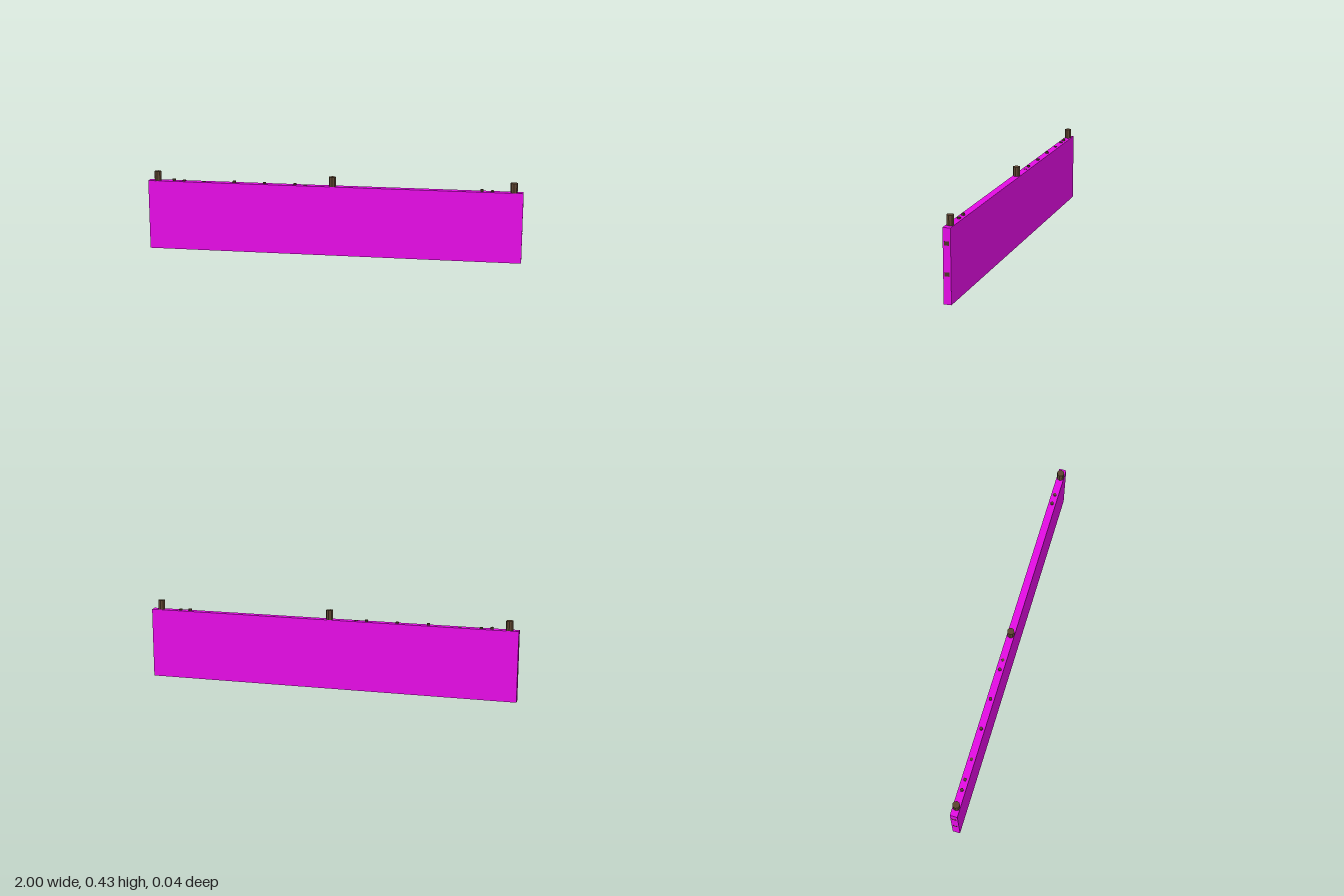
import * as THREE from 'three';

const wood = new THREE.MeshStandardMaterial({ color: 0x5c4430, flatShading: true });
const darkWood = new THREE.MeshStandardMaterial({ color: 0x4a3626, flatShading: true });
const magenta = new THREE.MeshStandardMaterial({ color: 0xe60ce6, flatShading: true });

function add(group, name, geometry, material, x, y, z = 0) {
  const mesh = new THREE.Mesh(geometry, material);
  mesh.name = name;
  mesh.position.set(x, y, z);
  group.add(mesh);
  return mesh;
}

// Upright pole standing on the ground
function pole(group, name, x, radius, height, sides, material) {
  add(group, name, new THREE.CylinderGeometry(radius, radius, height, sides), material, x, height / 2);
}

export function createModel() {
  const model = new THREE.Group();
  model.name = 'fence';

  // Solid block enclosing the fence
  add(model, 'boundingBlock', new THREE.BoxGeometry(1.999, 0.375, 0.039), magenta, 0, 0.1875);

  // Octagonal posts
  for (const x of [-0.95, 0, 0.95]) pole(model, 'post', x, 0.019, 0.425, 8, wood);

  // Two rails, ends showing flush at the sides
  for (const y of [0.149, 0.299]) {
    add(model, 'rail', new THREE.BoxGeometry(2, 0.02, 0.025), darkWood, 0, y);
  }

  // Pickets of uneven height, a few rising just above the block
  const tall = { 1: 0.386, 2: 0.382, 4: 0.378, 7: 0.386, 10: 0.383, 13: 0.384, 14: 0.377 };
  const tallRight = { 14: 0.386, 15: 0.382 };
  for (const [start, heights] of [[-0.915, tall], [0.015, tallRight]]) {
    for (let i = 1; i <= 15; i++) {
      const x = start + i * 0.055;
      if (Math.abs(x) < 0.03) continue;
      pole(model, 'picket', x, 0.009, heights[i] ?? 0.355 + 0.006 * (i % 3), 6, wood);
    }
  }
  return model;
}
